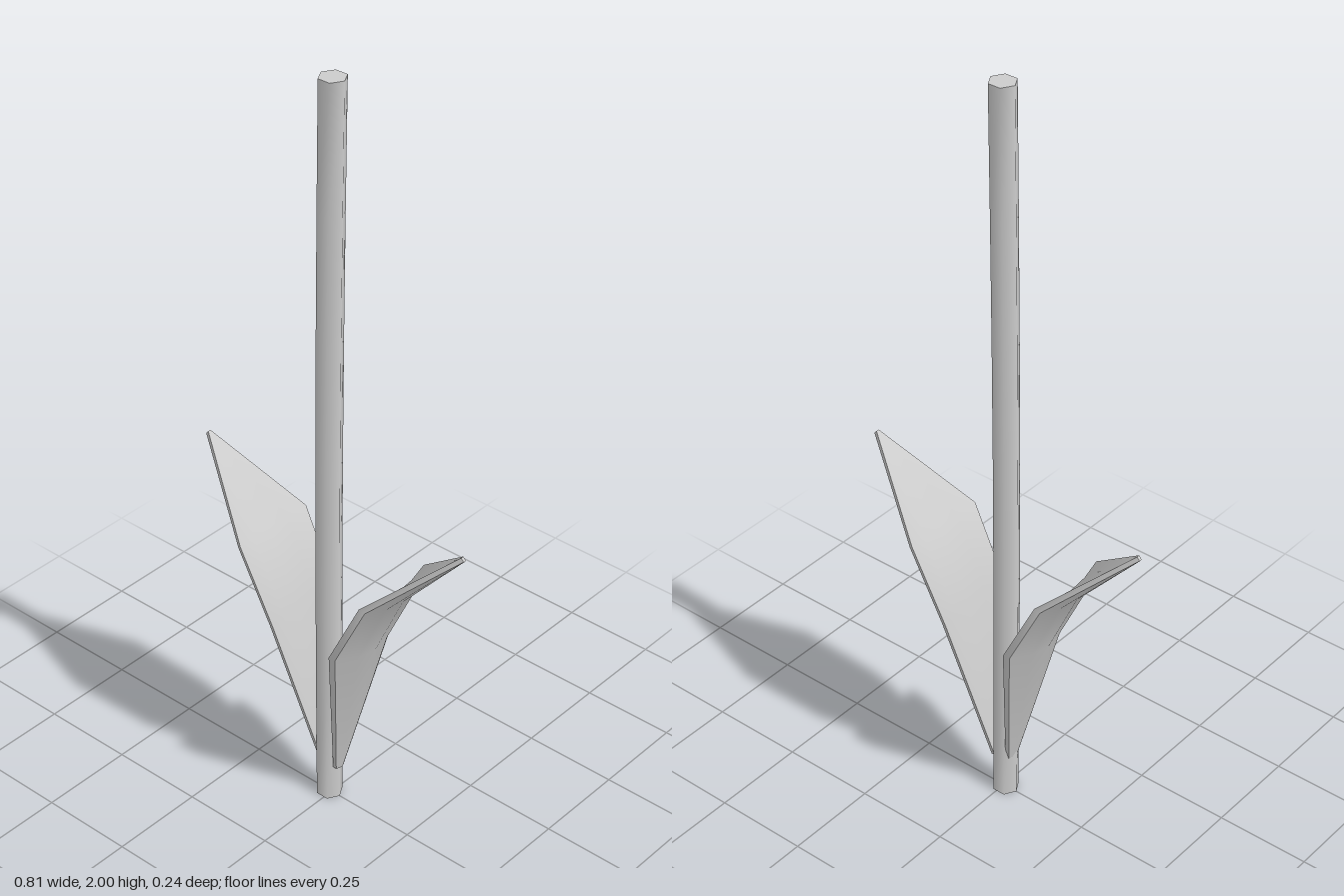
import * as THREE from 'three';
import { toCreasedNormals } from 'three/addons/utils/BufferGeometryUtils.js';

const material = new THREE.MeshStandardMaterial({ color: 0xcccccc });

// Hexagonal stalk with a very slight bend
function createStem() {
  const geo = new THREE.CylinderGeometry(0.034, 0.034, 2, 6, 6, false, Math.PI / 6);
  geo.translate(0, 1, 0);
  const pos = geo.attributes.position;
  for (let i = 0; i < pos.count; i++) {
    const y = pos.getY(i);
    pos.setX(i, pos.getX(i) - 0.007 - 0.006 * Math.sin(Math.PI * y / 2) + 0.005 * y);
  }
  const stem = new THREE.Mesh(toCreasedNormals(geo, 1.2), material);
  stem.name = 'stem';
  return stem;
}

// Cupped leaf growing towards +x, lofted through closed cross-sections
function createLeaf(name) {
  // x, y of the rim, half width, depth of the cup, thickness at rim and at midrib, angle of the outward normal
  const rows = [
    { x: 0.018, y: 0.1, w: 0.015, cup: 0, rim: 0.01, mid: 0.014, a: -0.17 },
    { x: 0.09, y: 0.54, w: 0.113, cup: 0.022, rim: 0.016, mid: 0.03, a: -0.32 },
    { x: 0.188, y: 0.735, w: 0.118, cup: 0.018, rim: 0.016, mid: 0.026, a: -0.66 },
    { x: 0.396, y: 0.921, w: 0.004, cup: 0, rim: 0.011, mid: 0.012, a: -0.84 },
  ];
  const across = [-1, -0.5, 0, 0.5, 1];
  const n = across.length * 2;
  const points = [];
  for (const r of rows) {
    const add = (u, outer) => {
      const bulge = 1 - u * u;
      const d = r.cup * bulge + (outer ? r.rim + (r.mid - r.rim) * bulge : 0);
      const w = outer ? r.w * 0.95 : r.w;
      points.push(r.x + d * Math.cos(r.a), r.y + d * Math.sin(r.a), u * w);
    };
    across.forEach((u) => add(u, false));
    across.forEach((u) => add(-u, true));
  }
  const index = [];
  for (let i = 0; i < rows.length - 1; i++) {
    for (let k = 0; k < n; k++) {
      const a = i * n + k, b = i * n + (k + 1) % n;
      index.push(a, b, a + n, b, b + n, a + n);
    }
  }
  // Close base and tip by joining the inner and outer sides
  const top = (rows.length - 1) * n;
  for (let k = 0; k < across.length - 1; k++) {
    const a = k, b = k + 1, c = n - 2 - k, d = n - 1 - k;
    index.push(a, c, b, a, d, c);
    index.push(top + a, top + b, top + c, top + a, top + c, top + d);
  }
  const geo = new THREE.BufferGeometry();
  geo.setAttribute('position', new THREE.Float32BufferAttribute(points, 3));
  geo.setIndex(index);
  const leaf = new THREE.Mesh(toCreasedNormals(geo, 0.7), material);
  leaf.name = name;
  return leaf;
}

export function createModel() {
  const model = new THREE.Group();
  model.name = 'plantStem';
  const leftLeaf = createLeaf('leftLeaf');
  const rightLeaf = createLeaf('rightLeaf');
  rightLeaf.rotation.y = Math.PI;
  model.add(createStem(), leftLeaf, rightLeaf);
  return model;
}
